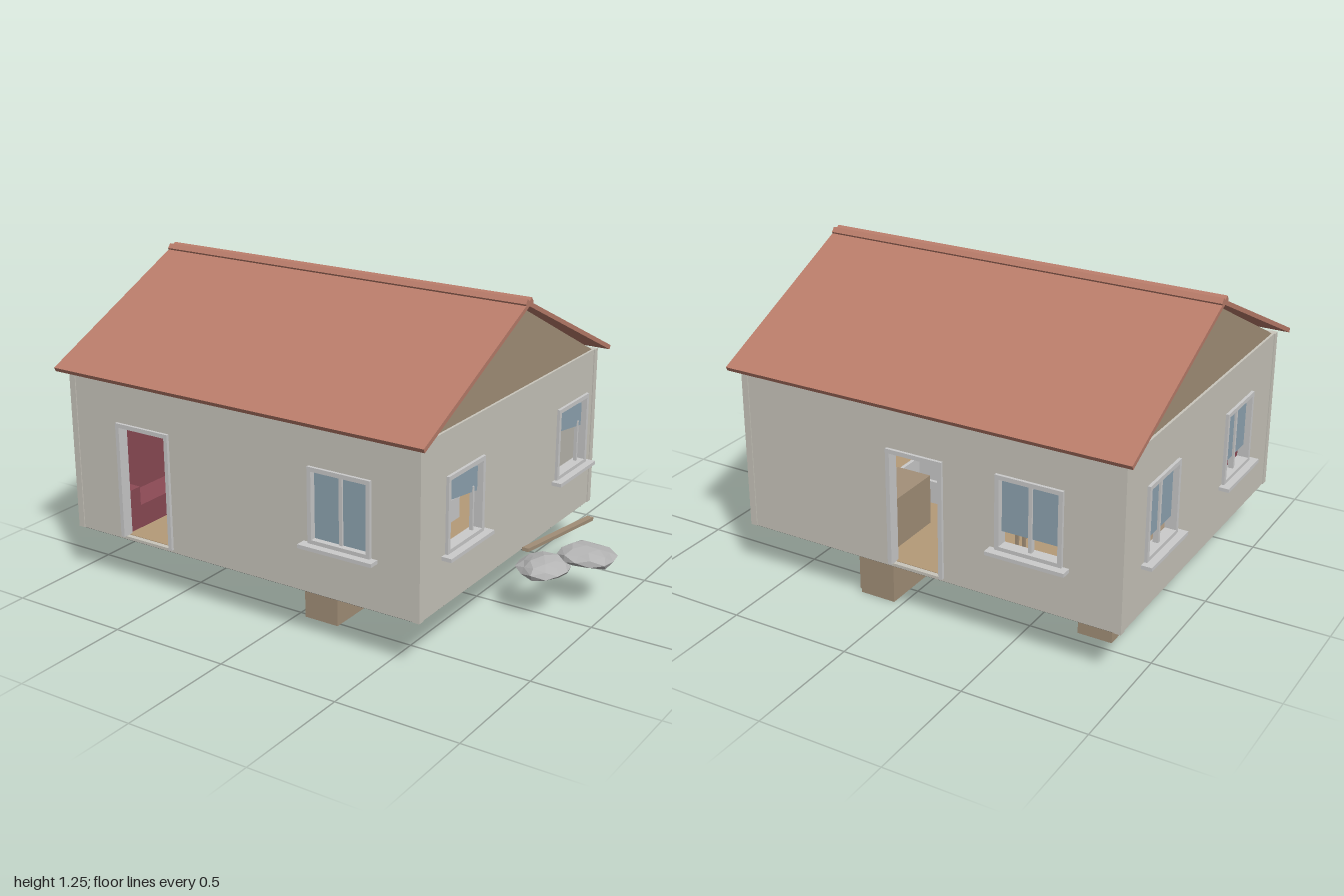
import * as THREE from 'three';

const mat = (color, extra = {}) => new THREE.MeshStandardMaterial({ color, ...extra });
const M = {
  wall: mat(0xc9c6bc), trim: mat(0xcccccc), roof: mat(0xb97c6a), tan: mat(0xa39079),
  glass: mat(0x8fa5b2), red: mat(0x8c4a55), dark: mat(0x5a5a5a), floor: mat(0xb49a78),
  rock: mat(0xb4b4b4, { flatShading: true }),
};
const CX = -0.155, HX = 0.805, HZ = 0.69, Y0 = 0.21, Y1 = 0.88;

// box given by its limits on each axis
function box(parent, name, material, x0, x1, y0, y1, z0, z1) {
  const mesh = new THREE.Mesh(new THREE.BoxGeometry(x1 - x0, y1 - y0, z1 - z0), material);
  mesh.position.set((x0 + x1) / 2, (y0 + y1) / 2, (z0 + z1) / 2);
  mesh.name = name;
  parent.add(mesh);
  return mesh;
}

// casing around an opening; local z points out of the house
function casing(g, name, a, b, y0, y1, withBottom) {
  const t = 0.017;
  box(g, name, M.trim, a, a + t, y0, y1, -0.035, 0.012);
  box(g, name, M.trim, b - t, b, y0, y1, -0.035, 0.012);
  box(g, name, M.trim, a + t, b - t, y1 - t, y1, -0.035, 0.012);
  if (withBottom) box(g, name, M.trim, a + t, b - t, y0, y0 + t, -0.035, 0.012);
}

function addWindow(g, a, b, glazing) {
  const y0 = 0.41, y1 = 0.71, mid = (a + b) / 2;
  casing(g, 'windowFrame', a, b, y0, y1, true);
  box(g, 'windowSill', M.trim, a - 0.025, b + 0.025, 0.397, 0.412, -0.03, 0.042);
  if (glazing === 'broken') {
    // loose pane hanging askew and a displaced bar
    const pane = box(g, 'loosePane', M.glass, a + 0.012, b - 0.012, 0.59, 0.685, -0.02, -0.012);
    pane.rotation.z = -0.14;
    box(g, 'windowBar', M.trim, b - 0.055, b - 0.045, y0, 0.6, -0.022, -0.008);
  } else {
    const low = glazing === 'half' ? 0.48 : y0 + 0.01;
    box(g, 'windowPane', M.glass, a + 0.01, b - 0.01, low, y1 - 0.01, -0.02, -0.012);
    box(g, 'windowBar', M.trim, mid - 0.007, mid + 0.007, y0, y1, -0.026, -0.004);
  }
}

// wall panel with cut openings: [kind, from, to, glazing]
function addWall(house, name, half, openings, x, z, turn) {
  const g = new THREE.Group();
  g.name = name;
  const shape = new THREE.Shape();
  shape.moveTo(-half, Y0).lineTo(half, Y0).lineTo(half, Y1).lineTo(-half, Y1).closePath();
  for (const [kind, a, b, glazing] of openings) {
    const y0 = kind === 'door' ? Y0 + 0.012 : 0.41, y1 = kind === 'door' ? 0.7 : 0.71;
    const hole = new THREE.Path();
    hole.moveTo(a, y0).lineTo(a, y1).lineTo(b, y1).lineTo(b, y0).closePath();
    shape.holes.push(hole);
    if (kind === 'door') casing(g, 'doorFrame', a, b, y0, y1, false);
    else addWindow(g, a, b, glazing);
  }
  const geo = new THREE.ExtrudeGeometry(shape, { depth: 0.03, bevelEnabled: false });
  geo.translate(0, 0, -0.03);
  const panel = new THREE.Mesh(geo, M.wall);
  panel.name = 'wallPanel';
  g.add(panel);
  g.position.set(x, 0, z);
  g.rotation.y = turn;
  house.add(g);
}

function addRock(parent, x, y, z, rx, ry, rz, seed) {
  const geo = new THREE.IcosahedronGeometry(1, 1), p = geo.attributes.position;
  const v = new THREE.Vector3();
  for (let i = 0; i < p.count; i++) {
    v.fromBufferAttribute(p, i);
    // uneven surface, the same for coincident corners
    const n = Math.sin(v.x * 5.1 + seed) + Math.sin(v.y * 4.3 + seed * 2) + Math.sin(v.z * 6.2 + seed * 3);
    v.multiplyScalar(0.97 + 0.075 * n);
    p.setXYZ(i, v.x * rx, v.y * ry, v.z * rz);
  }
  geo.computeVertexNormals();
  const rock = new THREE.Mesh(geo, M.rock);
  rock.position.set(x, y, z);
  rock.name = 'rock';
  parent.add(rock);
}

export function createModel() {
  const house = new THREE.Group();
  house.name = 'house';
  const q = Math.PI / 2;

  // walls with doors and windows
  addWall(house, 'frontWall', HX, [['door', -0.575, -0.315], ['window', 0.335, 0.605, 'full']], CX, HZ, 0);
  addWall(house, 'backWall', HX, [['door', -0.155, 0.085], ['window', 0.305, 0.575, 'half']], CX, -HZ, Math.PI);
  addWall(house, 'rightWall', HZ - 0.03, [['window', -0.515, -0.25, 'broken'], ['window', 0.35, 0.615, 'broken']], CX + HX, 0, q);
  addWall(house, 'leftWall', HZ - 0.03, [['window', -0.515, -0.25, 'half'], ['window', 0.19, 0.455, 'half']], CX - HX, 0, -q);
  for (const sx of [-1, 1]) for (const sz of [-1, 1]) {
    const x = CX + sx * (HX - 0.01), z = sz * (HZ - 0.01);
    box(house, 'cornerPost', M.wall, x - 0.014, x + 0.014, Y0, Y1, z - 0.014, z + 0.014);
  }

  // floor
  box(house, 'floorBase', M.dark, CX - HX + 0.002, CX + HX - 0.002, Y0 - 0.002, Y0 + 0.006, -HZ + 0.002, HZ - 0.002);
  box(house, 'floorBoards', M.floor, CX - HX + 0.02, CX + HX - 0.02, Y0 + 0.006, Y0 + 0.014, -HZ + 0.02, HZ - 0.02);

  // gables and attic
  const tri = new THREE.Shape();
  tri.moveTo(-0.665, Y1).lineTo(0.665, Y1).lineTo(0, 1.215).closePath();
  const attic = new THREE.Mesh(new THREE.ExtrudeGeometry(tri, { depth: 2 * HX - 0.02, bevelEnabled: false }), M.tan);
  attic.rotation.y = q;
  attic.position.x = CX - HX + 0.01;
  attic.name = 'gables';
  house.add(attic);

  // roof slopes and ridge cap, extruded along the house
  const profile = (name, points) => {
    const s = new THREE.Shape(points.map(([a, b]) => new THREE.Vector2(a, b)));
    const mesh = new THREE.Mesh(new THREE.ExtrudeGeometry(s, { depth: 1.69, bevelEnabled: false }), M.roof);
    mesh.rotation.y = q;
    mesh.position.x = -1;
    mesh.name = name;
    house.add(mesh);
  };
  for (const s of [1, -1]) {
    const slope = [[0, 1.217], [0.73, 0.872], [0.738, 0.888], [0, 1.236]];
    profile('roofSlope', slope.map(([a, b]) => [a * s, b]));
    const cap = [[0, 1.222], [0.026, 1.222], [0.03, 1.23], [0.016, 1.248], [0, 1.236]];
    profile('ridgeCap', cap.map(([a, b]) => [a * s, b]));
  }

  // sofa facing the room
  const sofa = new THREE.Group();
  sofa.name = 'sofa';
  box(sofa, 'seat', M.red, -0.9, -0.72, 0.19, 0.32, 0.12, 0.65);
  box(sofa, 'backrest', M.red, -0.91, -0.85, 0.3, 0.6, 0.12, 0.65);
  for (const z of [0.12, 0.59]) box(sofa, 'armrest', M.red, -0.87, -0.72, 0.3, 0.4, z, z + 0.06);
  house.add(sofa);
  box(house, 'curtain', M.red, -0.925, -0.915, 0.4, 0.72, -0.48, -0.41);

  // wooden cupboards standing down through the floor
  for (const [z0, z1] of [[0.255, 0.52], [-0.615, -0.345]]) {
    box(house, 'cupboard', M.tan, 0.035, 0.185, 0, 0.43, z0, z1);
    box(house, 'cupboardDoor', M.tan, 0.185, 0.195, 0.012, 0.425, z0 + 0.005, z0 + 0.075);
  }
  box(house, 'dresser', M.tan, -0.905, -0.77, 0.13, 0.4, -0.64, -0.11);
  box(house, 'lowTable', M.tan, -0.42, -0.31, 0.17, 0.3, 0.14, 0.36);
  box(house, 'bedsideBox', M.tan, 0.5, 0.59, 0.165, 0.3, 0.48, 0.585);
  box(house, 'whiteStool', M.trim, 0.46, 0.56, 0.175, 0.3, -0.13, -0.03);
  box(house, 'hearth', M.dark, -0.6, -0.44, 0.19, 0.24, -0.01, 0.17);

  // open tub
  for (const z of [-0.2, -0.035]) box(house, 'tubSide', M.trim, -0.06, 0.3, 0.165, 0.32, z, z + 0.015);
  for (const x of [-0.06, 0.285]) box(house, 'tubEnd', M.trim, x, x + 0.015, 0.165, 0.32, -0.185, -0.035);

  // dining table and chairs
  const leg = (name, x, z, y0, y1) => box(house, name, M.tan, x - 0.006, x + 0.006, y0, y1, z - 0.006, z + 0.006);
  for (const x of [-0.63, -0.6, -0.38, -0.35]) for (const z of [-0.275, -0.335]) leg('tableLeg', x, z, 0.06, 0.3);
  for (const x of [-0.51, -0.488]) for (const z of [-0.17, -0.24]) leg('chairLeg', x, z, 0.12, 0.3);
  box(house, 'tableTop', M.tan, -0.64, -0.34, 0.3, 0.315, -0.345, -0.16);

  // rubble and plank beside the house
  addRock(house, 0.795, 0.21, 0.012, 0.104, 0.043, 0.106, 1.3);
  addRock(house, 0.885, 0.21, -0.17, 0.113, 0.045, 0.1, 4.1);
  const from = new THREE.Vector3(0.728, 0.272, 0.04), to = new THREE.Vector3(0.752, 0.222, -0.488);
  const plank = new THREE.Mesh(new THREE.BoxGeometry(0.028, 0.014, from.distanceTo(to)), M.tan);
  plank.position.copy(from).lerp(to, 0.5);
  plank.lookAt(to);
  plank.name = 'plank';
  house.add(plank);
  return house;
}
